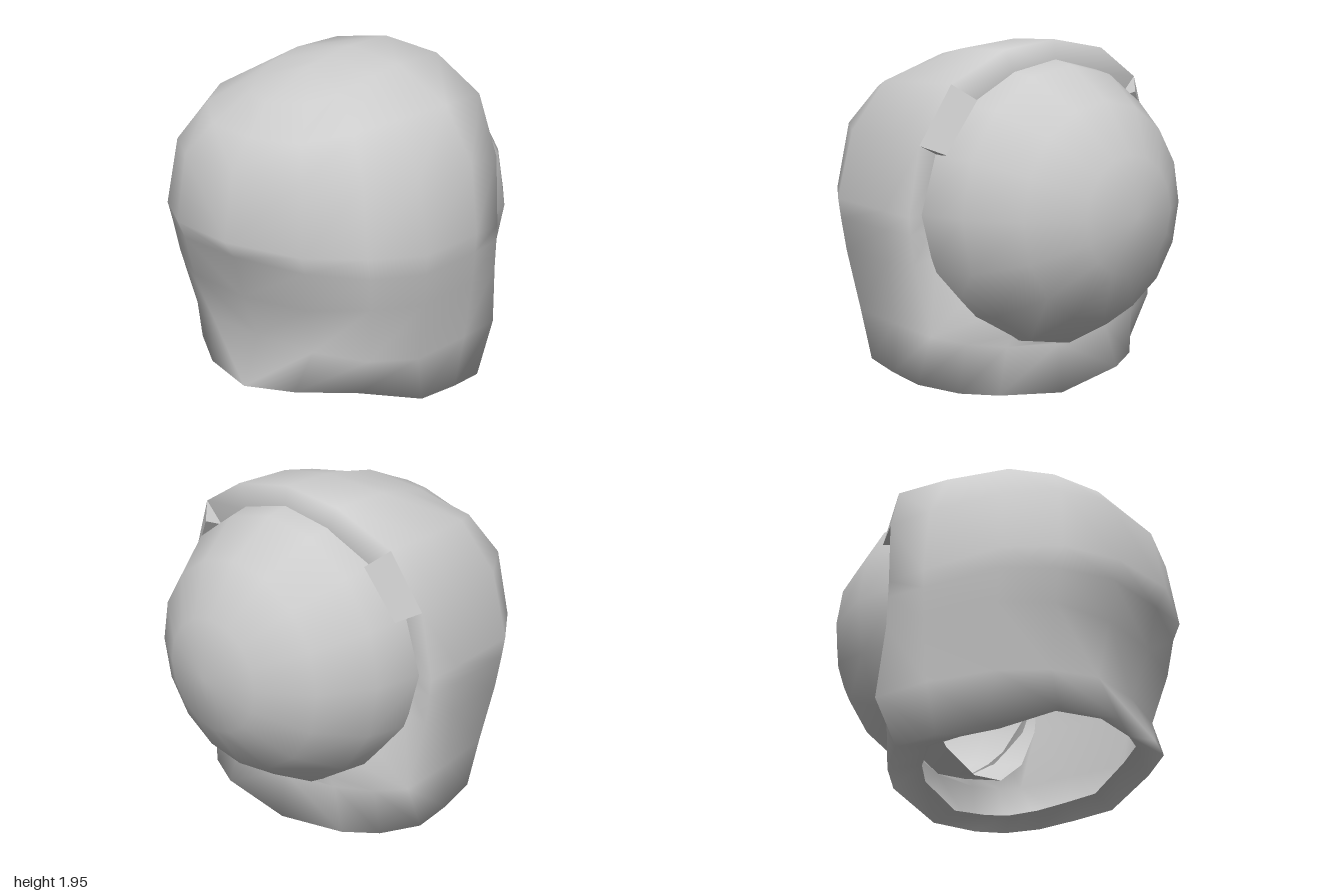
import * as THREE from 'three';
import { mergeVertices } from 'three/addons/utils/BufferGeometryUtils.js';
import { ConvexGeometry } from 'three/addons/geometries/ConvexGeometry.js';

const grey = () => new THREE.MeshStandardMaterial({ color: 0xcccccc, side: THREE.DoubleSide });

// Half cross-sections, each running from the back centre round the left side to the face opening
const neckRim = [[-0.89, 0.25, 0], [-0.82, 0.28, 0.3], [-0.62, 0.28, 0.57], [-0.31, 0.18, 0.76], [-0.05, 0.165, 0.8],
  [0.18, 0.145, 0.8], [0.33, 0.1, 0.64], [0.42, 0.07, 0.44], [0.435, 0.005, 0]];
const jaw = [[-0.77, 0.51, 0], [-0.74, 0.5, 0.36], [-0.6, 0.47, 0.62], [-0.38, 0.45, 0.78], [0, 0.45, 0.82],
  [0.31, 0.43, 0.81], [0.36, 0.37, 0.62], [0.4, 0.32, 0.37], [0.41, 0.28, 0]];
const upper = [
  [[-0.88, 0.77, 0], [-0.83, 0.78, 0.4], [-0.66, 0.8, 0.68], [-0.42, 0.79, 0.84], [0, 0.79, 0.86], [0.23, 0.8, 0.855]],
  [[-0.935, 1.01, 0], [-0.87, 1, 0.42], [-0.69, 0.98, 0.695], [-0.44, 0.97, 0.86], [0, 0.96, 0.87], [0.22, 0.96, 0.865]],
  [[-1, 1.11, 0], [-0.91, 1.1, 0.43], [-0.72, 1.1, 0.7], [-0.45, 1.08, 0.87], [0, 1.06, 0.875], [0.215, 1.05, 0.87]],
  [[-0.93, 1.47, 0], [-0.86, 1.47, 0.4], [-0.68, 1.47, 0.64], [-0.42, 1.45, 0.79], [0, 1.44, 0.83], [0.25, 1.42, 0.825]],
  [[-0.8, 1.62, 0], [-0.75, 1.63, 0.3], [-0.58, 1.68, 0.5], [-0.36, 1.72, 0.61], [0, 1.73, 0.66], [0.31, 1.73, 0.665]],
  [[-0.66, 1.77, 0], [-0.57, 1.78, 0.2], [-0.42, 1.82, 0.28], [-0.2, 1.87, 0.33], [0, 1.9, 0.35], [0.36, 1.9, 0.35]],
  [[-0.66, 1.77, 0], [-0.5, 1.83, 0], [-0.32, 1.9, 0], [-0.15, 1.925, 0], [0.03, 1.95, 0], [0.36, 1.95, 0]],
];

// Point on the inner lip, straight in from an edge point until it meets the visor
function lipPoint([x, y, z]) {
  const a = Math.atan2(z, y - 1.06);
  return [x + 0.01, 1.06 + 0.76 * Math.cos(a), 0.75 * Math.sin(a)];
}

// Skin neighbouring rows on both sides of the centre plane
function skin(rows, out) {
  const flip = ([x, y, z]) => [x, y, z === 0 ? 0 : -z];
  for (let i = 0; i < rows.length - 1; i++) {
    for (let j = 0; j < rows[i].length - 1; j++) {
      const a = rows[i][j], b = rows[i][j + 1], c = rows[i + 1][j + 1], d = rows[i + 1][j];
      for (const [p, q, r] of [[a, b, c], [a, c, d]]) {
        out.push(...p, ...q, ...r, ...flip(p), ...flip(r), ...flip(q));
      }
    }
  }
}

function shellGeometry() {
  const out = [];
  const neckHole = neckRim.map(([x, y, z]) => [-0.2 + (x + 0.2) * 0.79, y + 0.05, z * 0.76]);
  skin([neckHole, neckRim, jaw], out);
  // sides, back and crown, each row ending in the lip
  const sides = [jaw.slice(0, 6), ...upper].map(row => [...row, lipPoint(row[5])]);
  skin(sides, out);
  // chin lip
  const chin = jaw.slice(5);
  skin([chin, chin.map(lipPoint)], out);
  let geo = new THREE.BufferGeometry();
  geo.setAttribute('position', new THREE.Float32BufferAttribute(out, 3));
  geo = mergeVertices(geo, 1e-4);
  geo.computeVertexNormals();
  return geo;
}

export function createModel() {
  const model = new THREE.Group();
  model.name = 'helmet';
  const add = (name, geo) => {
    const mesh = new THREE.Mesh(geo, grey());
    mesh.name = name;
    model.add(mesh);
    return mesh;
  };

  add('helmetShell', shellGeometry());

  // Domed visor with its pole facing +x
  const dome = new THREE.SphereGeometry(0.82, 16, 4, 0, Math.PI * 2, 0, Math.PI / 2);
  dome.rotateZ(-Math.PI / 2);
  dome.scale(1, 1, 0.98);
  add('visor', dome).position.set(0.18, 1.06, 0);

  // Sloping clasps that carry the shell edge onto the visor at the upper corners
  const clasp = [[0.31, 1.73, 0.665], [0.25, 1.42, 0.825], [0.41, 1.65, 0.575], [0.355, 1.375, 0.735],
    [0.3, 1.61, 0.54], [0.24, 1.36, 0.7]];
  for (const side of [1, -1]) {
    const points = clasp.map(([x, y, z]) => new THREE.Vector3(x, y, z * side));
    add(side > 0 ? 'leftClasp' : 'rightClasp', new ConvexGeometry(points));
  }
  return model;
}
